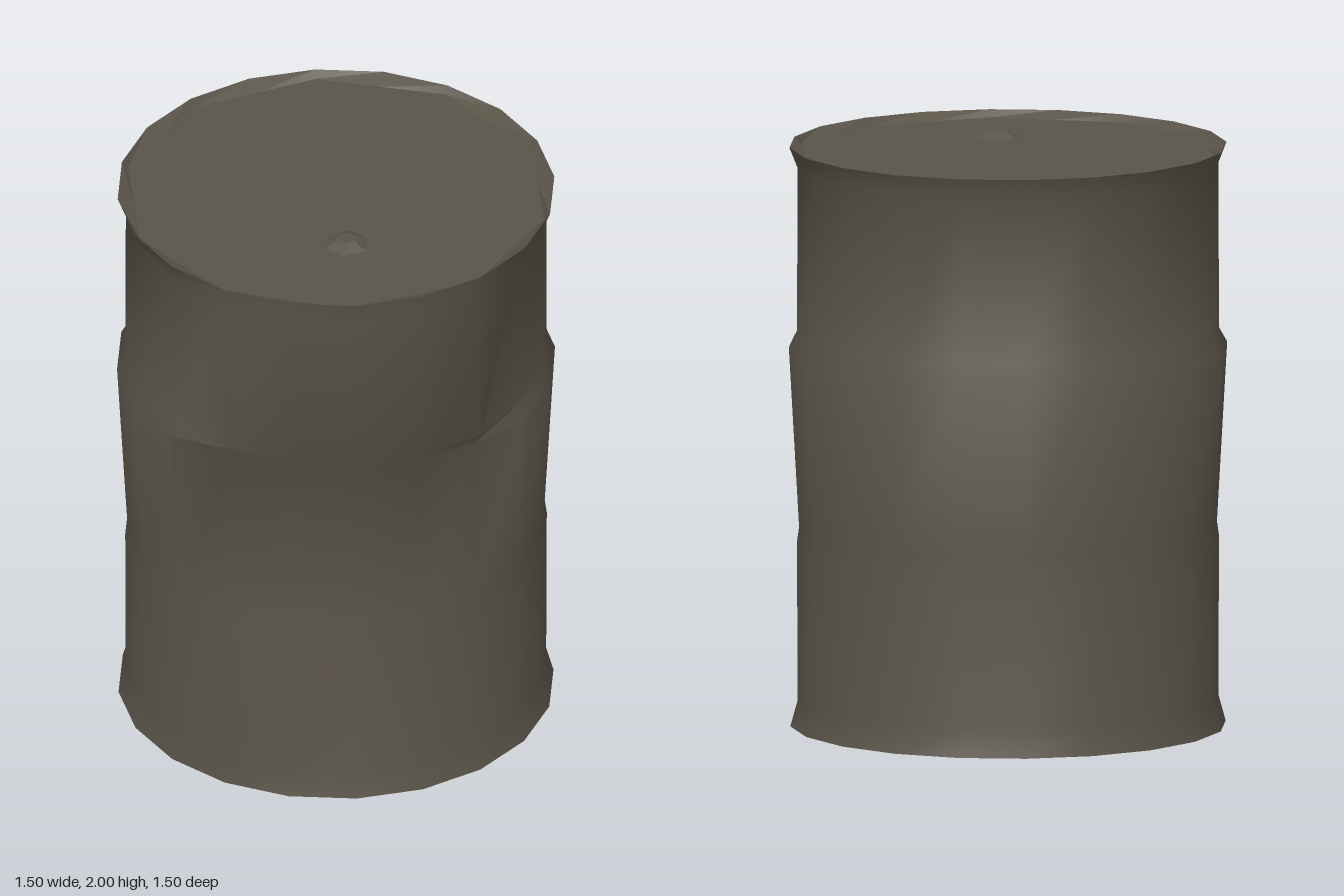
import * as THREE from 'three';
import { toCreasedNormals } from 'three/addons/utils/BufferGeometryUtils.js';

const SIDES = 20;

// Skin between rings; each ring is { y, r(i) } with i counted from the front towards +x
function skin(rings, crease) {
  const pos = [], index = [];
  for (const { y, r } of rings) {
    for (let i = 0; i < SIDES; i++) {
      const a = (i / SIDES) * Math.PI * 2;
      pos.push(Math.sin(a) * r(i), y, Math.cos(a) * r(i));
    }
  }
  for (let k = 0; k < rings.length - 1; k++) {
    for (let i = 0; i < SIDES; i++) {
      const j = (i + 1) % SIDES;
      const a = k * SIDES + i, b = k * SIDES + j, c = a + SIDES, d = b + SIDES;
      index.push(a, b, d, a, d, c);
    }
  }
  const g = new THREE.BufferGeometry();
  g.setAttribute('position', new THREE.Float32BufferAttribute(pos, 3));
  g.setIndex(index);
  return toCreasedNormals(g, crease);
}

export function createModel() {
  const group = new THREE.Group();
  const metal = new THREE.MeshStandardMaterial({ color: 0x5a5449 });
  metal.name = 'dull grey brown metal';

  const add = (name, geometry) => {
    const mesh = new THREE.Mesh(geometry, metal);
    mesh.name = name;
    group.add(mesh);
    return mesh;
  };

  const all = (r) => () => r;
  const front = (i) => i === 0;
  const dented = (i) => i < 5; // front left quarter, where the upper rib is bent
  // Ten-sided radius: odd corners lie on the straight edges
  const tenSided = (r) => (i) => (i % 2 ? r * Math.cos(Math.PI / 10) : r);

  // Drum wall with bottom rim, lower band, upper rib and top rim
  add('drumWall', skin([
    { y: 0, r: all(0.745) },
    { y: 0.09, r: (i) => (front(i) ? 0.745 : 0.72) },
    { y: 0.64, r: all(0.722) },
    { y: 0.69, r: all(0.715) },
    { y: 1.31, r: (i) => (dented(i) ? 0.715 : 0.75) },
    { y: 1.36, r: (i) => (dented(i) ? 0.748 : 0.722) },
    { y: 1.93, r: (i) => (front(i) ? 0.748 : dented(i) ? 0.735 : 0.72) },
    { y: 2, r: all(0.748) },
  ], 0.7));

  // Lip sloping from the top rim down to the lid
  const lidRadius = tenSided(0.727);
  add('topLip', skin([
    { y: 2, r: all(0.748) },
    { y: 1.975, r: (i) => lidRadius(i + 10) },
  ], 0.4));

  // Flat lid and base
  const lid = add('lid', new THREE.CircleGeometry(0.727, 10, Math.PI / 2));
  lid.rotation.x = -Math.PI / 2;
  lid.position.y = 1.975;

  const base = add('base', new THREE.CircleGeometry(0.745, SIDES, Math.PI / 2));
  base.rotation.x = Math.PI / 2;

  // Small faceted bung on the lid
  const bungShape = new THREE.CylinderGeometry(0.035, 0.085, 0.026, 6);
  const bung = add('bung', toCreasedNormals(bungShape, 0.3));
  bung.rotation.y = 0.4;
  bung.position.set(0.19, 1.986, 0.25);

  return group;
}
